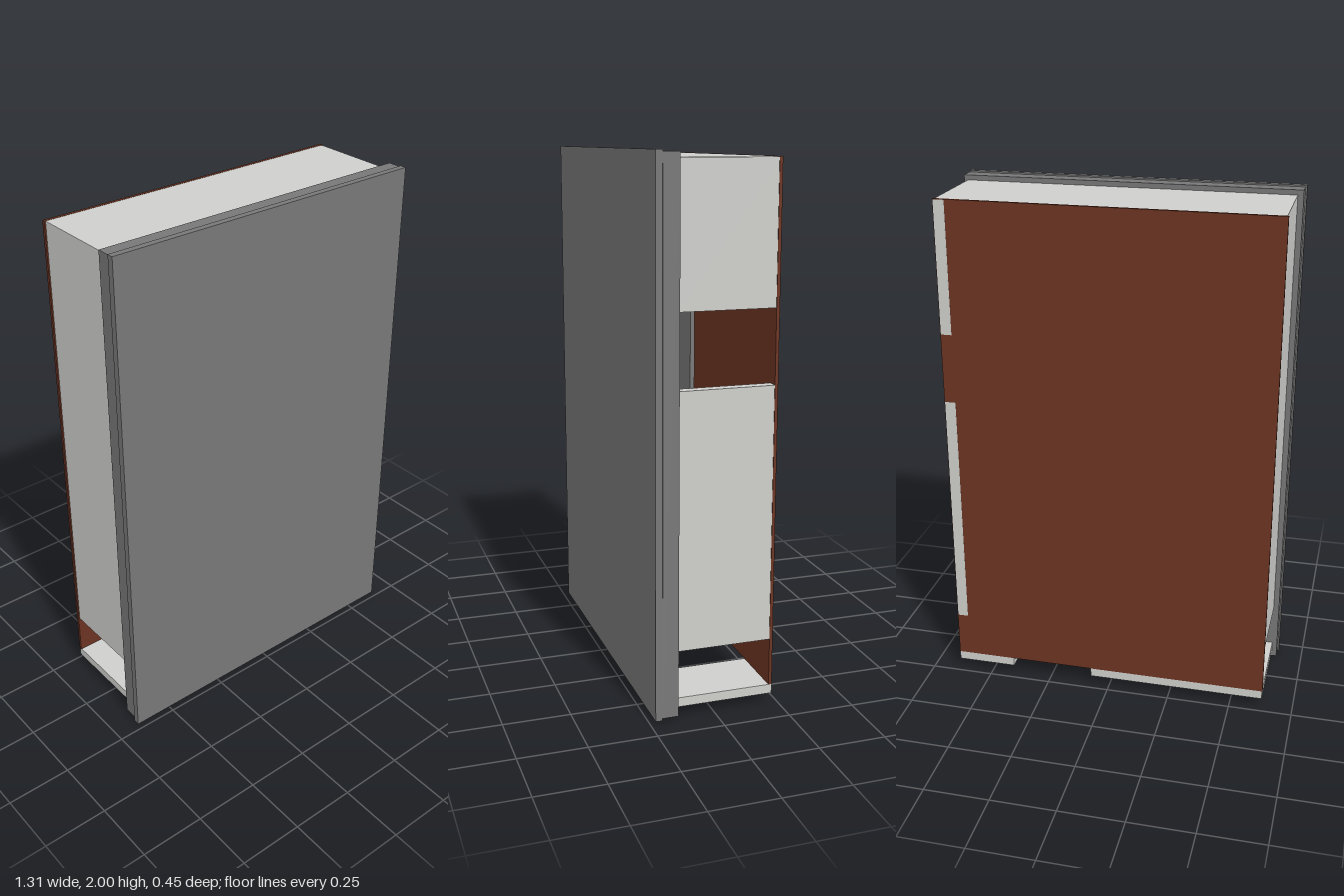
import * as THREE from 'three';

const lightGrey = new THREE.MeshStandardMaterial({ color: 0xcfcfcc });
lightGrey.name = 'light grey board';
const darkGrey = new THREE.MeshStandardMaterial({ color: 0x787878 });
darkGrey.name = 'dark grey front';
const brown = new THREE.MeshStandardMaterial({ color: 0x6b3422 });
brown.name = 'brown back';

export function createModel() {
  const cabinet = new THREE.Group();
  cabinet.name = 'cabinet';

  // Box given by its limits on each axis
  function board(name, material, [x0, x1], [y0, y1], [z0, z1]) {
    const mesh = new THREE.Mesh(new THREE.BoxGeometry(x1 - x0, y1 - y0, z1 - z0), material);
    mesh.position.set((x0 + x1) / 2, (y0 + y1) / 2, (z0 + z1) / 2);
    mesh.name = name;
    cabinet.add(mesh);
  }

  // Door slab and the stepped frame behind it
  board('frontPanel', darkGrey, [-0.653, 0.649], [0, 2], [0.2, 0.225]);
  board('frontFrame', darkGrey, [-0.647, 0.652], [0.01, 1.994], [0.14, 0.2]);

  // Inner panel set back behind the front
  board('innerPanel', darkGrey, [-0.59, 0.6], [0.24, 1.94], [0.07, 0.085]);

  // Carcass: top, full right wall, left wall in two lengths with an opening between
  board('topBoard', lightGrey, [-0.625, 0.632], [1.94, 1.975], [-0.213, 0.14]);
  board('rightWall', lightGrey, [-0.625, -0.59], [0.24, 1.94], [-0.213, 0.14]);
  const leftWallLengths = [[0.253, 1.198], [1.468, 1.974]];
  for (const span of leftWallLengths) {
    board('leftWall', lightGrey, [0.597, 0.639], span, [-0.2255, 0.14]);
  }

  // Base in two parts, with a gap between them
  const baseParts = [[-0.628, 0.075], [0.405, 0.64]];
  for (const span of baseParts) {
    board('baseBoard', lightGrey, span, [0.04, 0.075], [-0.225, 0.14]);
  }

  // Thin back sheet
  board('backSheet', brown, [-0.63, 0.641], [0.075, 1.976], [-0.225, -0.213]);

  return cabinet;
}
